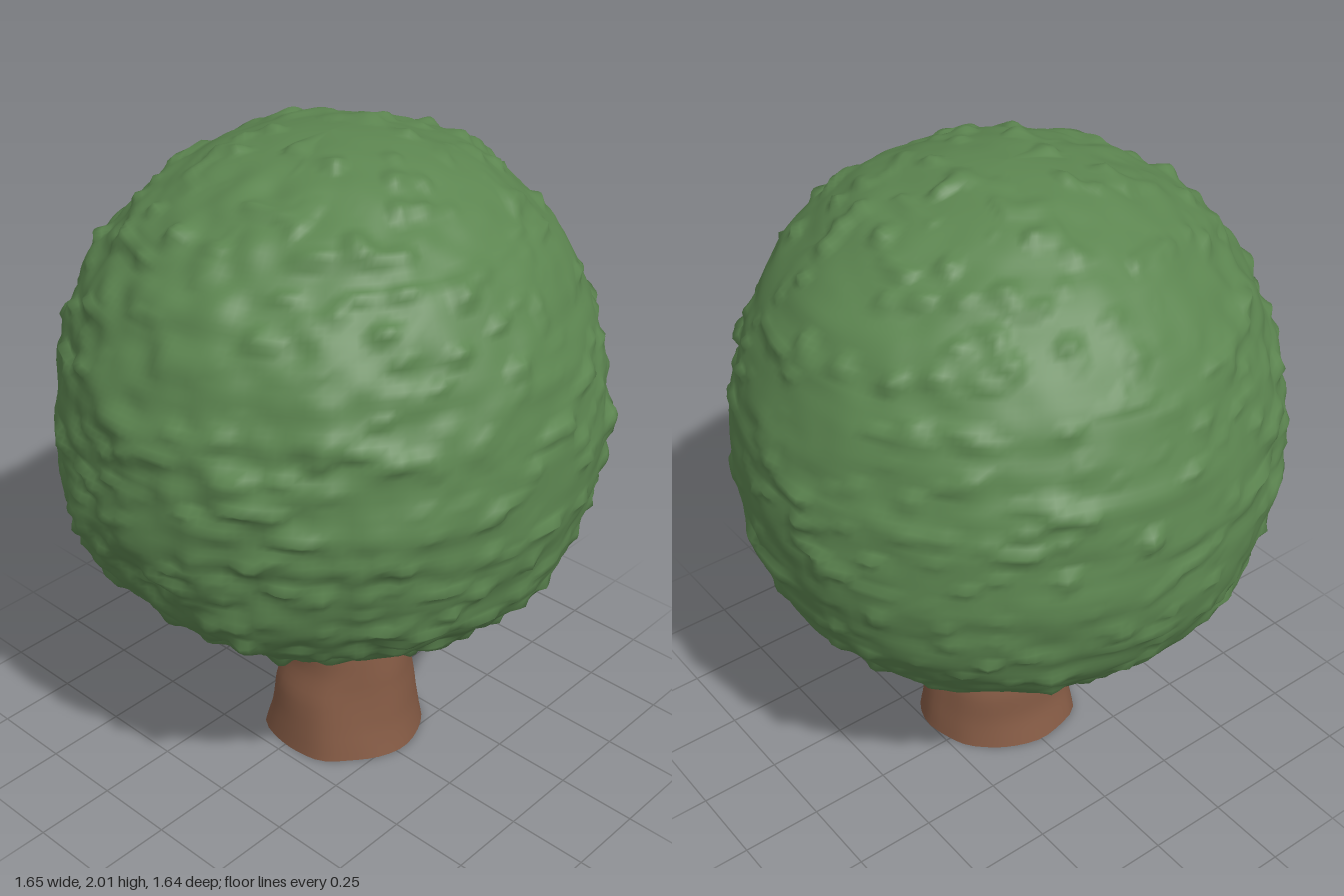
import * as THREE from 'three';

const foliageGreen = new THREE.MeshStandardMaterial({ color: 0x5c8550 });
foliageGreen.name = 'foliageGreen';
const barkBrown = new THREE.MeshStandardMaterial({ color: 0x845a44 });
barkBrown.name = 'barkBrown';

// Seeded smooth noise in -1..1
function hash(x, y, z) {
  const s = Math.sin(x * 127.1 + y * 311.7 + z * 74.7) * 43758.5453;
  return (s - Math.floor(s)) * 2 - 1;
}
function noise(x, y, z) {
  const cell = [x, y, z].map(Math.floor);
  const [u, v, w] = [x, y, z].map((t, k) => THREE.MathUtils.smoothstep(t - cell[k], 0, 1));
  let sum = 0;
  for (let i = 0; i < 8; i++) {
    const a = i & 1, b = (i >> 1) & 1, c = i >> 2;
    sum += hash(cell[0] + a, cell[1] + b, cell[2] + c)
      * (a ? u : 1 - u) * (b ? v : 1 - v) * (c ? w : 1 - w);
  }
  return sum;
}

// Closed rings joined into a skin; pointAt(t, angle) gives each vertex
function ringSkin(rings, sides, pointAt) {
  const pos = [], index = [];
  for (let i = 0; i <= rings; i++) {
    for (let j = 0; j < sides; j++) {
      pos.push(...pointAt(i / rings, (j / sides) * Math.PI * 2));
      if (i === rings) continue;
      const a = i * sides + j, b = i * sides + (j + 1) % sides;
      index.push(a, a + sides, b, b, a + sides, b + sides);
    }
  }
  const geo = new THREE.BufferGeometry();
  geo.setAttribute('position', new THREE.Float32BufferAttribute(pos, 3));
  geo.setIndex(index);
  geo.computeVertexNormals();
  return geo;
}

function part(name, geometry, material) {
  const mesh = new THREE.Mesh(geometry, material);
  mesh.name = name;
  return mesh;
}

// Crown: round profile with a hollow underneath where the trunk enters
const crownProfile = new THREE.SplineCurve([
  [0, 0.78], [0.16, 0.76], [0.27, 0.68], [0.3, 0.58], [0.36, 0.545], [0.48, 0.595],
  [0.61, 0.69], [0.715, 0.81], [0.775, 0.97], [0.802, 1.15], [0.787, 1.33], [0.737, 1.5],
  [0.657, 1.66], [0.535, 1.8], [0.38, 1.905], [0.19, 1.972], [0, 1.995],
].map(([r, y]) => new THREE.Vector2(r, y)));
const crownCentre = new THREE.Vector3(0, 1.22, 0);

// Broad swellings and a cleft: direction, height, tightness
const swellings = [
  [[-0.6, -0.5, -0.6], 0.025, 8],
  [[0.4, 0.8, -0.4], 0.015, 8],
  [[-0.35, -0.4, 0.85], 0.015, 25],
  [[0.02, -0.45, 0.88], -0.03, 60],
].map(([d, height, tight]) => ({ d: new THREE.Vector3(...d).normalize(), height, tight }));

function crownPoint(t, a) {
  const { x: r, y } = crownProfile.getPointAt(t);
  const round = r * (1 + 0.01 * Math.cos(4 * a));
  const x = round * Math.cos(a), z = round * Math.sin(a);
  const dir = new THREE.Vector3(x, y, z).sub(crownCentre).normalize();
  const outside = THREE.MathUtils.smoothstep(r, 0.3, 0.45) + (y > 1.2 ? 1 : 0);
  let push = 0;
  for (const s of swellings) push += s.height * Math.exp(s.tight * (dir.dot(s.d) - 1));
  push *= Math.min(1, outside);
  // flat leafy layers, ruffles strongest at the front, and small raised leaf tips
  const ruffle = 0.005 + 0.012 * Math.max(0, dir.z) + 0.004 * Math.max(0, -dir.y);
  push += Math.min(1, r / 0.15) * (0.007 * noise(x * 4 + 9, y * 4, z * 4)
    + 0.007 * noise(x * 3, y * 20, z * 3 + 3)
    + ruffle * noise(x * 13 + 5, y * 15, z * 13)
    + 0.035 * Math.max(0, noise(x * 14, y * 30, z * 14 + 7) - 0.25));
  // rim of the hollow rises and falls in four scallops
  const rim = y < 1 ? 0.03 * Math.cos(4 * a) * Math.exp(-(((r - 0.33) / 0.1) ** 2)) : 0;
  return [x + dir.x * push, y + dir.y * push + rim, z + dir.z * push];
}

// Trunk: off centre, flared at the foot and where it meets the crown
const trunkLevels = [0, 0.1, 0.2, 0.3, 0.4, 0.5, 0.6, 0.68, 0.78];
const trunkShape = new THREE.CatmullRomCurve3([
  // centre x, half width in x, half depth in z
  [0.05, 0.228, 0.237], [0.05, 0.2, 0.224], [0.045, 0.188, 0.21], [0.053, 0.172, 0.18],
  [0.055, 0.157, 0.175], [0.05, 0.15, 0.17], [0.045, 0.165, 0.175], [0.03, 0.23, 0.23],
  [0.01, 0.3, 0.3],
].map((p) => new THREE.Vector3(...p)));
const trunkZ = -0.012;

function trunkPoint(t, a) {
  const k = t * (trunkLevels.length - 1), i = Math.min(Math.floor(k), trunkLevels.length - 2);
  const y = THREE.MathUtils.lerp(trunkLevels[i], trunkLevels[i + 1], k - i);
  const s = trunkShape.getPoint(t);
  const c = Math.cos(a), n = Math.sin(a);
  // wider along one diagonal, with soft bark swellings
  const lump = 1.015 - 0.085 * Math.sin(2 * a) - 0.015 * Math.cos(4 * a)
    + 0.05 * noise(c * 2 + 4, y * 5, n * 2) + 0.015 * Math.cos(5 * a + y * 3);
  return [s.x + s.y * c * lump, y, trunkZ + s.z * n * lump];
}

// Flat underside of the trunk
function trunkBasePoint(t, a) {
  const [x, , z] = trunkPoint(0, a);
  const cx = trunkShape.getPoint(0).x;
  return [cx + (x - cx) * t, 0, trunkZ + (z - trunkZ) * t];
}

export function createModel() {
  const tree = new THREE.Group();
  tree.name = 'tree';
  tree.add(part('crown', ringSkin(140, 200, crownPoint), foliageGreen));
  tree.add(part('trunk', ringSkin(32, 40, trunkPoint), barkBrown));
  tree.add(part('trunkBase', ringSkin(1, 40, trunkBasePoint), barkBrown));
  return tree;
}
